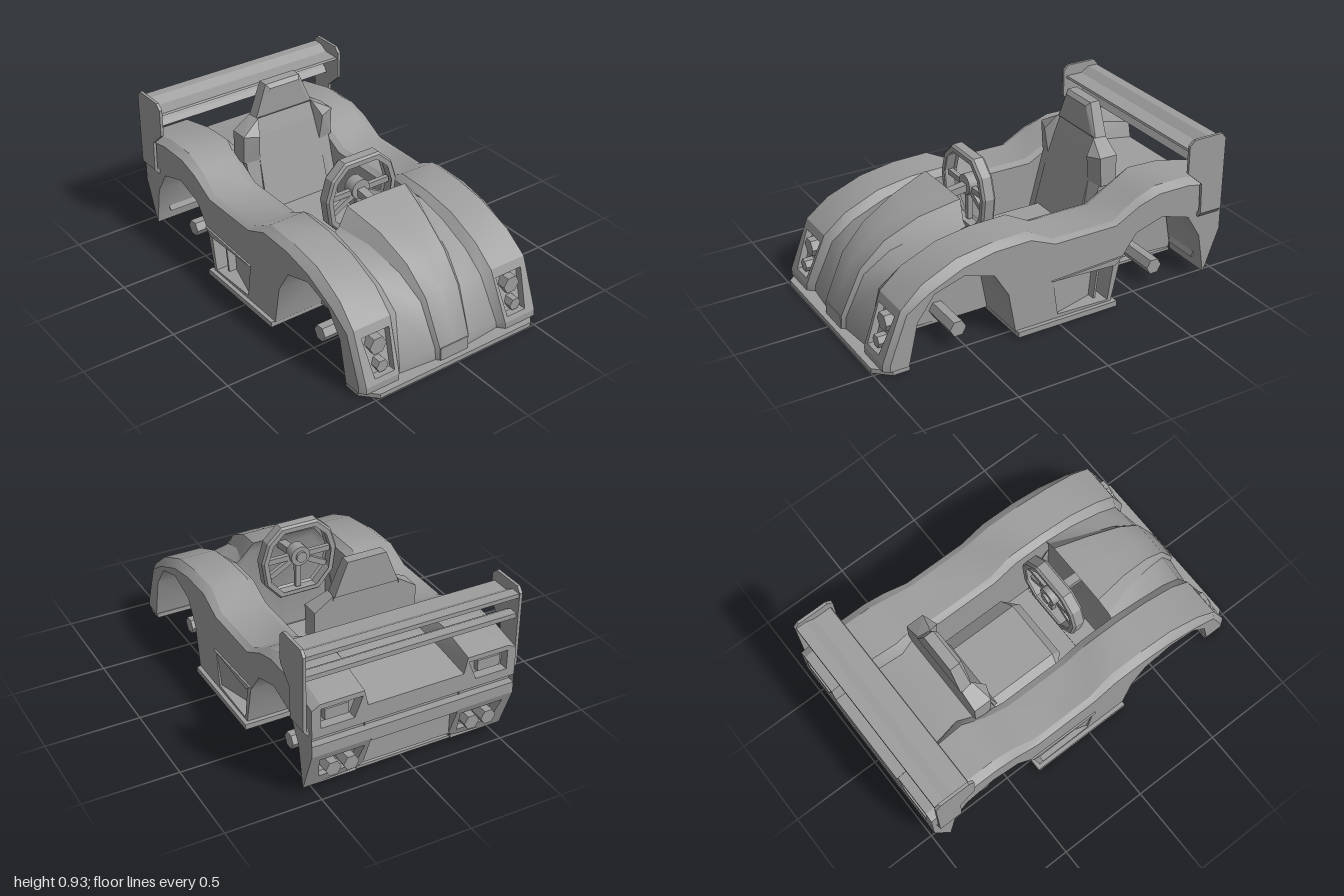
import * as THREE from 'three';
import { toCreasedNormals } from 'three/addons/utils/BufferGeometryUtils.js';
import { ConvexGeometry } from 'three/addons/geometries/ConvexGeometry.js';

const gray = new THREE.MeshStandardMaterial({ color: 0x9d9d9d, side: THREE.DoubleSide });
gray.name = 'body gray';

export function createModel() {
  const model = new THREE.Group();
  model.name = 'openRaceCarBody';

  const add = (name, geo) => {
    const m = new THREE.Mesh(geo, gray);
    m.name = name;
    model.add(m);
  };

  // Mirror a geometry across x = 0 and restore its winding
  const mirrored = (geo) => {
    const g = geo.index ? geo.toNonIndexed() : geo.clone();
    g.scale(-1, 1, 1);
    for (const key of ['position', 'normal']) {
      const a = g.attributes[key];
      for (let i = 0; i < a.count; i += 3) {
        const p = [a.getX(i), a.getY(i), a.getZ(i)];
        a.setXYZ(i, a.getX(i + 2), a.getY(i + 2), a.getZ(i + 2));
        a.setXYZ(i + 2, ...p);
      }
    }
    return g;
  };
  const pair = (name, geo) => {
    add(name + 'Left', geo);
    add(name + 'Right', mirrored(geo));
  };

  // Surface through rows of points, smooth over shallow bends
  const loft = (rows, closed = false) => {
    const n = rows[0].length, index = [];
    for (let r = 0; r < rows.length - 1; r++) {
      for (let i = 0; i < (closed ? n : n - 1); i++) {
        const a = r * n + i, b = r * n + (i + 1) % n;
        index.push(a, b, a + n, b, b + n, a + n);
      }
    }
    const g = new THREE.BufferGeometry();
    g.setAttribute('position', new THREE.Float32BufferAttribute(rows.flat(2), 3));
    g.setIndex(index);
    g.computeVertexNormals();
    return toCreasedNormals(g, 0.7);
  };

  const shapeOf = (pts, holes = []) => {
    const s = new THREE.Shape(pts.map(([u, v]) => new THREE.Vector2(u, v)));
    s.holes = holes.map((h) => new THREE.Path(h.map(([u, v]) => new THREE.Vector2(u, v))));
    return s;
  };
  // Flat panel placed in space by a map (u, v) => [x, y, z]
  const panel = (pts, holes, map) => {
    const g = new THREE.ShapeGeometry(shapeOf(pts, holes));
    const p = g.attributes.position;
    for (let i = 0; i < p.count; i++) p.setXYZ(i, ...map(p.getX(i), p.getY(i)));
    g.computeVertexNormals();
    return g;
  };
  // Pocket behind a hole: walls and a back
  const recess = (name, pts, front, back) => {
    pair(name + 'Walls', loft([pts.map((p) => front(...p)), pts.map((p) => back(...p))], true));
    pair(name + 'Back', panel(pts, [], back));
  };
  const box = (x0, x1, y0, y1, z0, z1) =>
    new THREE.BoxGeometry(x1 - x0, y1 - y0, z1 - z0).translate((x0 + x1) / 2, (y0 + y1) / 2, (z0 + z1) / 2);
  const hull = (pts) => new ConvexGeometry(pts.map((p) => new THREE.Vector3(...p)));
  const bothSides = (pts) => hull(pts.flatMap(([x, y, z]) => [[x, y, z], [-x, y, z]]));
  // Extrude a (z, y) outline from x0 to x1
  const sideExtrude = (pts, x0, x1) =>
    new THREE.ExtrudeGeometry(shapeOf(pts.map(([z, y]) => [-z, y])), { depth: x1 - x0, bevelEnabled: false })
      .rotateY(Math.PI / 2).translate(x0, 0, 0);
  const hexAlongZ = (r, x, y, z0, z1) => toCreasedNormals(
    new THREE.CylinderGeometry(r, r, z1 - z0, 6).rotateY(Math.PI / 6).rotateX(Math.PI / 2), 0.3)
    .translate(x, y, (z0 + z1) / 2);

  // Fender lines, front to back, as [x, y, z]
  const W = 0.553;
  const shoulder = [[.025, .935], [.06, .935], [.31, .84], [.39, .72], [.475, .53], [.51, .36], [.515, .16],
    [.455, .02], [.455, -.34], [.53, -.48], [.565, -.6], [.565, -.78], [.52, -1]].map(([y, z]) => [W, y, z]);
  const crown = [[.025, .965], [.06, .965], [.33, .86], [.43, .74], [.51, .55], [.54, .36], [.545, .16],
    [.47, .02], [.47, -.34], [.55, -.48], [.595, -.6], [.595, -.78], [.545, -1]];
  const outerX = [.53, .53, .53, .52, .51, .51, .51, .52, .52, .51, .51, .51, .51];
  const innerX = [.34, .335, .315, .31, .31, .31, .31, .305, .305, .3, .27, .28, .28];
  const outer = crown.map(([y, z], i) => [outerX[i], y, z]);
  const inner = crown.map(([y, z], i) => [innerX[i], y, z]);
  const valley = [[.31, .025, .93], [.305, .06, .93], [.265, .31, .84], [.265, .4, .72], [.27, .475, .53],
    [.27, .515, .36], [.27, .515, .16], [.27, .455, .02], [.27, .455, -.34], [.27, .53, -.48],
    [.225, .54, -.6], [.25, .5, -.78], [.26, .46, -1]];
  pair('fenderOuterBevel', loft([shoulder, outer]));
  pair('fenderCrown', loft([outer.slice(2), inner.slice(2)]));
  pair('fenderChin', loft([outer.slice(0, 2), inner.slice(0, 2)]));
  pair('fenderInnerBevel', loft([inner, valley]));
  pair('innerWall', loft([valley, valley.map(([x, , z]) => [x, .025, Math.max(z, -.9)])]));

  // Headlights sunk into the fender fronts
  const noseMap = (x, y) => [x, y, .965 - (y - .06) * .3889];
  const lampHole = [[.334, .285], [.497, .285], [.472, .085], [.356, .085]];
  pair('headlightPanel', panel([[.335, .06], [.53, .06], [.53, .33], [.315, .33]], [lampHole], noseMap));
  recess('headlightPocket', lampHole, noseMap, (x, y) => [x, y, noseMap(x, y)[2] - .04]);
  pair('upperHeadlight', hexAlongZ(.05, .417, .225, .84, .905));
  pair('lowerHeadlight', hexAlongZ(.035, .417, .128, .87, .94));

  // Side panels with wheel arches and an air intake
  const arch = [[.305, .025], [.255, .25], [.16, .38], [0, .43], [-.165, .38], [-.245, .25], [-.285, .025]];
  const frontArch = arch.map(([z, y]) => [z + .53, y]);
  const rearArch = arch.map(([z, y]) => [z - .625, y]);
  const vent = [[.03, .25], [-.33, .232], [-.3, .04], [0, .05]];
  const sideMap = (z, y) => [W, y, z];
  pair('sidePanel', panel([...shoulder.map(([, y, z]) => [z, y]), [-1, .26], [-.912, .025],
    ...[...rearArch].reverse(), ...[...frontArch].reverse()], [vent], sideMap));
  recess('intake', vent, sideMap, (z, y) => [W - .002 - .11 * (.03 - z) / .36, y, z]);
  pair('intakePost', sideExtrude([[-.262, .225], [-.274, .225], [-.252, .046], [-.24, .046]], W - .1, W - .04));
  pair('intakeBlade', sideExtrude([[.04, .252], [-.38, .272], [-.335, .236]], W, W + .01));
  for (const [name, a] of [['frontArch', frontArch], ['rearArch', rearArch]]) {
    pair(name, loft([a.map(([z, y]) => [W, y, z]), a.map(([z, y]) => [.265, y, z])]));
  }

  // Hood with a raised spine, and the dashboard under its rear edge
  const spine = [[0, .025, .968], [0, .1, .968], [0, .34, .86], [0, .47, .73], [0, .565, .55], [0, .625, .34]];
  const spineX = [.085, .09, .1, .115, .14, .18];
  const edge = spine.map(([, y, z], i) => [spineX[i], y - .003, z]);
  const foot = [[.1, .025, .95], [.105, .09, .95], [.12, .315, .85], [.15, .425, .72], [.19, .5, .53], [.245, .535, .36]];
  pair('hoodTop', loft([edge, spine]));
  pair('hoodSide', loft([foot, edge]));
  pair('hoodValley', loft([valley.slice(0, 6), foot]));
  const rim = [spine, edge, foot, valley].map((c) => c[5]);
  pair('dashboard', loft([rim, rim.map(([x, y]) => [x, y - .07, .38]), rim.map(([x]) => [x, .03, .38])]));
  add('nosePlate', box(-.085, .085, .025, .097, .964, .972));

  // Floors, sills and front splitter
  add('floorAndSills', box(-.575, .575, 0, .03, -.345, .24));
  add('frontFloor', box(-.27, .27, .02, .035, .24, .93));
  add('rearFloor', box(-.27, .27, .02, .035, -.9, -.345));
  const lip = [[-.548, .83], [.548, .83], [.548, .92], [.475, 1], [-.475, 1], [-.548, .92]];
  add('splitter', new THREE.ExtrudeGeometry(shapeOf(lip), { depth: .025, bevelEnabled: false })
    .rotateX(Math.PI / 2).translate(0, .025, 0));

  // Axle stubs
  for (const [name, z] of [['frontAxle', .53], ['rearAxle', -.64]]) {
    pair(name, hexAlongZ(.045, 0, .1, .26, .485).rotateY(Math.PI / 2).translate(0, 0, z));
  }

  // Rear deck and bulkhead
  const deck = valley.slice(9);
  pair('rearDeck', loft([deck, deck.map(([, y, z]) => [0, y, z])]));
  add('bulkhead', box(-.26, .26, .03, .53, -.51, -.48));

  // Rear fascia: tail lamps, groove, lower lamp clusters, number plate bay
  const tailMap = (x, y) => [x, y, y > .26 ? -1 : -1 + .09 * (.26 - y) / .235];
  const tailHole = [[.287, .518], [.505, .518], [.505, .412], [.33, .412]];
  pair('tailUpper', panel([[0, .46], [.26, .46], [.28, .545], [.51, .545], [W, .52], [W, .365], [0, .365]], [tailHole], tailMap));
  recess('tailLampPocket', tailHole, tailMap, (x, y) => [x, y, -.95]);
  pair('tailLamp', box(.35, .475, .435, .495, -.98, -.945));
  pair('tailBand', panel([[0, .26], [W, .26], [W, .32], [0, .32]], [], tailMap));
  const groove = [[.365, -1], [.365, -.96], [.32, -.96], [.32, -1]];
  pair('tailGroove', loft([0, W].map((x) => groove.map(([y, z]) => [x, y, z]))));
  const clusterHole = [[.265, .22], [.505, .22], [.48, .085], [.285, .085]];
  pair('tailLower', panel([[.24, .26], [W, .26], [W, .025], [.27, .05], [.24, .077]], [clusterHole], tailMap));
  recess('lampCluster', clusterHole, tailMap, (x, y) => [x, y, tailMap(x, y)[2] + .05]);
  for (const x of [.335, .43]) pair('rearHexLamp', hexAlongZ(.042, x, .145, -.985, -.9));
  add('plateBayCeiling', box(-.24, .24, .25, .26, -1, -.92));
  add('rearPlate', box(-.24, .24, .075, .255, -.93, -.9));
  pair('plateBaySide', panel([[-1, .26], [-.93, .26], [-.93, .077]], [], (z, y) => [.24, y, z]));

  // Rear wing
  const endPlate = [[-.75, .8], [-.78, .83], [-.95, .83], [-.975, .8], [-.975, .4], [-.845, .4], [-.84, .57], [-.75, .65]];
  pair('wingEndPlate', sideExtrude(endPlate, .567, .583));
  pair('wingMount', hull([-.975, -.845].flatMap((z) => [[.583, .4, z], [.567, .4, z], [.56, .372, z], [.54, .372, z], [.54, .4, z]])));
  add('upperWing', sideExtrude([[-.765, .757], [-.77, .768], [-.865, .768], [-.915, .797], [-.97, .797], [-.97, .775], [-.91, .757]], -.57, .57));
  add('lowerWing', sideExtrude([[-.86, .64], [-.88, .668], [-.91, .685], [-.96, .685], [-.96, .66], [-.92, .64]], -.57, .57));

  // Seat
  add('seatCushion', bothSides([[.25, .03, -.36], [.25, .03, .04], [.17, .03, .11], [.25, .2, -.36], [.25, .2, .04],
    [.17, .2, .11], [.17, .26, -.36], [.17, .26, .06]]));
  add('seatBack', bothSides([[.2, .24, -.33], [.2, .24, -.52], [.19, .66, -.44], [.175, .75, -.47], [.175, .75, -.52], [.2, .66, -.52]]));
  pair('upperBolster', hull([[.19, .53, -.41], [.28, .53, -.43], [.2, .68, -.39], [.28, .69, -.42], [.17, .755, -.45],
    [.18, .755, -.52], [.28, .69, -.52], [.28, .53, -.52], [.19, .53, -.52]]));
  pair('lowerBolster', hull([[.19, .2, -.34], [.265, .2, -.34], [.19, .54, -.41], [.265, .54, -.43],
    [.19, .2, -.5], [.265, .2, -.5], [.19, .54, -.5], [.265, .54, -.5]]));
  add('headrest', bothSides([[.175, .75, -.46], [.175, .75, -.525], [.105, .925, -.47], [.105, .925, -.525],
    [.15, .765, -.45], [.09, .905, -.45]]));

  // Steering wheel, spokes, hub and column
  const halfRim = [[.1, .205], [.175, .135], [.208, .03], [.19, -.1], [.11, -.19]];
  const ring = (s) => [...halfRim, ...halfRim.map(([x, y]) => [-x, y]).reverse()].map(([x, y]) => [x * s, y * s]);
  add('steeringRim', new THREE.ExtrudeGeometry(shapeOf(ring(1), [ring(.88)]),
    { depth: .05, bevelThickness: .012, bevelSize: .01, bevelSegments: 1 }).translate(0, .56, .168));
  for (const a of [0, -.5, Math.PI, Math.PI + .5, -Math.PI / 2]) {
    add('steeringSpoke', new THREE.BoxGeometry(.15, .03, .025).translate(.11, 0, 0).rotateZ(a).translate(0, .58, .19));
  }
  const hub = (r, z0, z1) => toCreasedNormals(
    new THREE.CylinderGeometry(r, r, z1 - z0, 12).rotateX(Math.PI / 2), 0.6).translate(0, .59, (z0 + z1) / 2);
  add('steeringHub', hub(.055, .15, .215));
  add('hornButton', hub(.03, .135, .15));
  add('steeringColumn', bothSides([[.023, .6, .2], [.023, .56, .2], [.023, .575, .39], [.023, .535, .39]]));
  return model;
}
